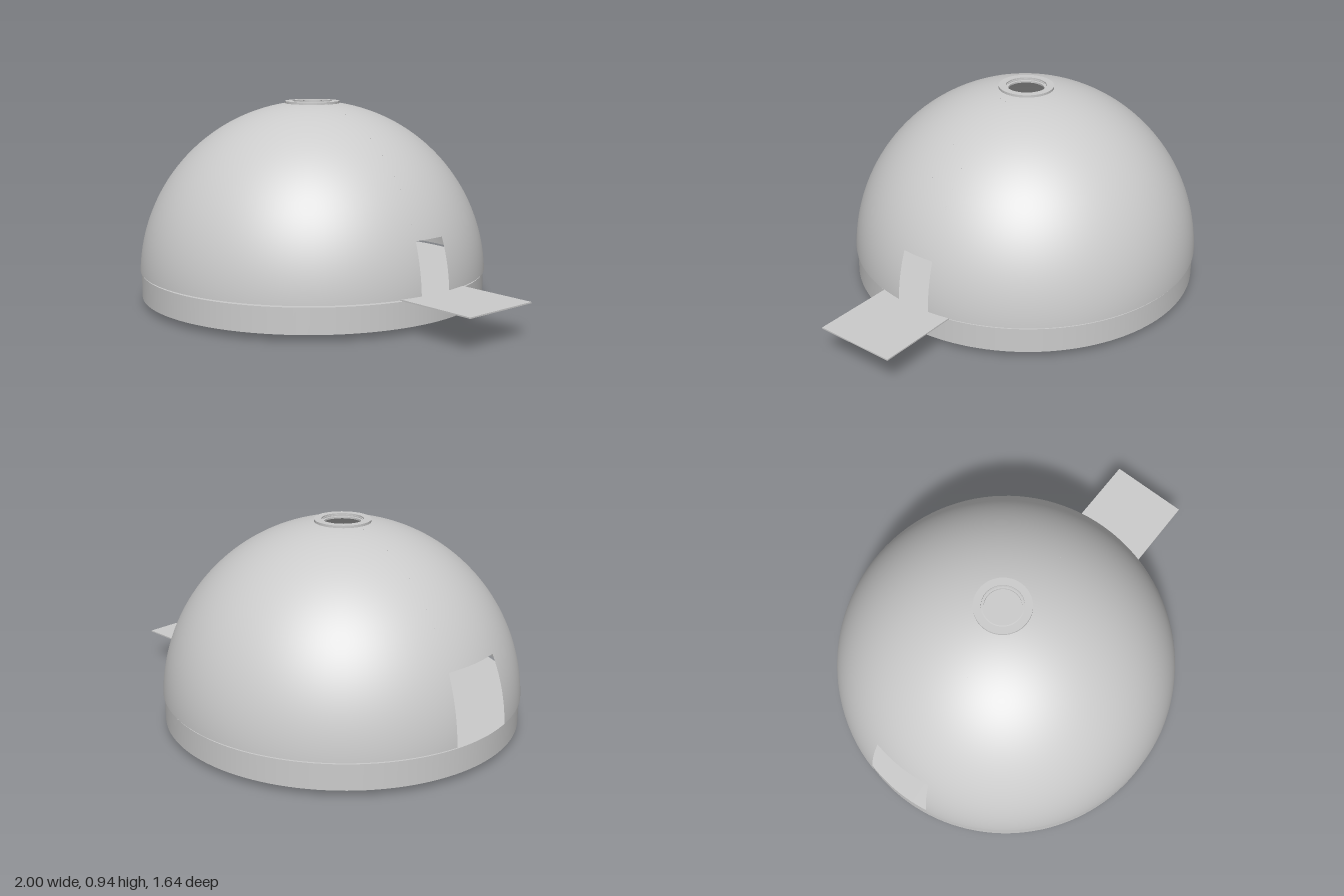
import * as THREE from 'three';
import { mergeGeometries } from 'three/addons/utils/BufferGeometryUtils.js';

const grey = new THREE.MeshStandardMaterial({ color: 0xcccccc });
const greyThin = new THREE.MeshStandardMaterial({ color: 0xcccccc, side: THREE.DoubleSide });

function part(name, geometry, x, y, z, material = grey) {
  const mesh = new THREE.Mesh(geometry, material);
  mesh.name = name;
  mesh.position.set(x, y, z);
  return mesh;
}

// Upright cylinder between two heights
function drum(name, radius, y0, y1, segments = 48) {
  return part(name, new THREE.CylinderGeometry(radius, radius, y1 - y0, segments), 0, (y0 + y1) / 2, 0);
}

// Spherical shell with a top hole, a large opening at -x and a small doorway at +x
function domeGeometry(radius, centreY) {
  const thetaAt = (y) => Math.acos((y - centreY) / radius);
  const top = Math.asin(0.088 / radius);
  const wide = 0.2, door = 0.104;
  const wedge = (from, to, bottomY, segments) => new THREE.SphereGeometry(
    radius, segments, 40, from, to - from, top, thetaAt(bottomY) - top);
  return mergeGeometries([
    wedge(wide, Math.PI - door, 0.155, 48),
    wedge(Math.PI + door, 2 * Math.PI - wide, 0.155, 48),
    wedge(-wide, wide, 0.46, 8),
    wedge(Math.PI - door, Math.PI + door, 0.39, 6),
  ]);
}

export function createModel() {
  const model = new THREE.Group();
  model.name = 'domedHouse';

  // Everything round shares one vertical axis
  const body = new THREE.Group();
  body.name = 'body';
  body.position.x = -0.185;
  model.add(body);

  body.add(drum('base', 0.815, 0.03, 0.147, 128));
  body.add(drum('bottomPin', 0.046, 0, 0.04, 32));
  body.add(drum('centrePad', 0.152, 0.14, 0.157));
  body.add(part('dome', domeGeometry(0.822, 0.12), 0, 0.12, 0, greyThin));

  // Stepped collar around the top hole
  const collar = [[0.094, 0.943], [0.094, 0.93], [0.083, 0.93], [0.083, 0.922],
    [0.128, 0.922], [0.128, 0.943], [0.094, 0.943]];
  const collarGeometry = new THREE.LatheGeometry(collar.map(([r, y]) => new THREE.Vector2(r, y)), 48).toNonIndexed();
  collarGeometry.computeVertexNormals();
  body.add(part('topCollar', collarGeometry, 0, 0, 0, greyThin));

  // Half-round cup with a flat top, and a short stub facing the doorway
  body.add(part('cup', new THREE.SphereGeometry(0.08, 32, 12, 0, Math.PI * 2, Math.PI / 2, Math.PI / 2), 0, 0.235, 0));
  body.add(part('cupTop', new THREE.CircleGeometry(0.08, 32).rotateX(-Math.PI / 2), 0, 0.235, 0));
  body.add(part('stub', new THREE.CylinderGeometry(0.052, 0.052, 0.12, 32).rotateZ(Math.PI / 2), 0.14, 0.215, 0));

  // Thin landing plate outside the doorway
  model.add(part('landingPlate', new THREE.BoxGeometry(0.4, 0.006, 0.38), 0.8, 0.155, 0));
  return model;
}
